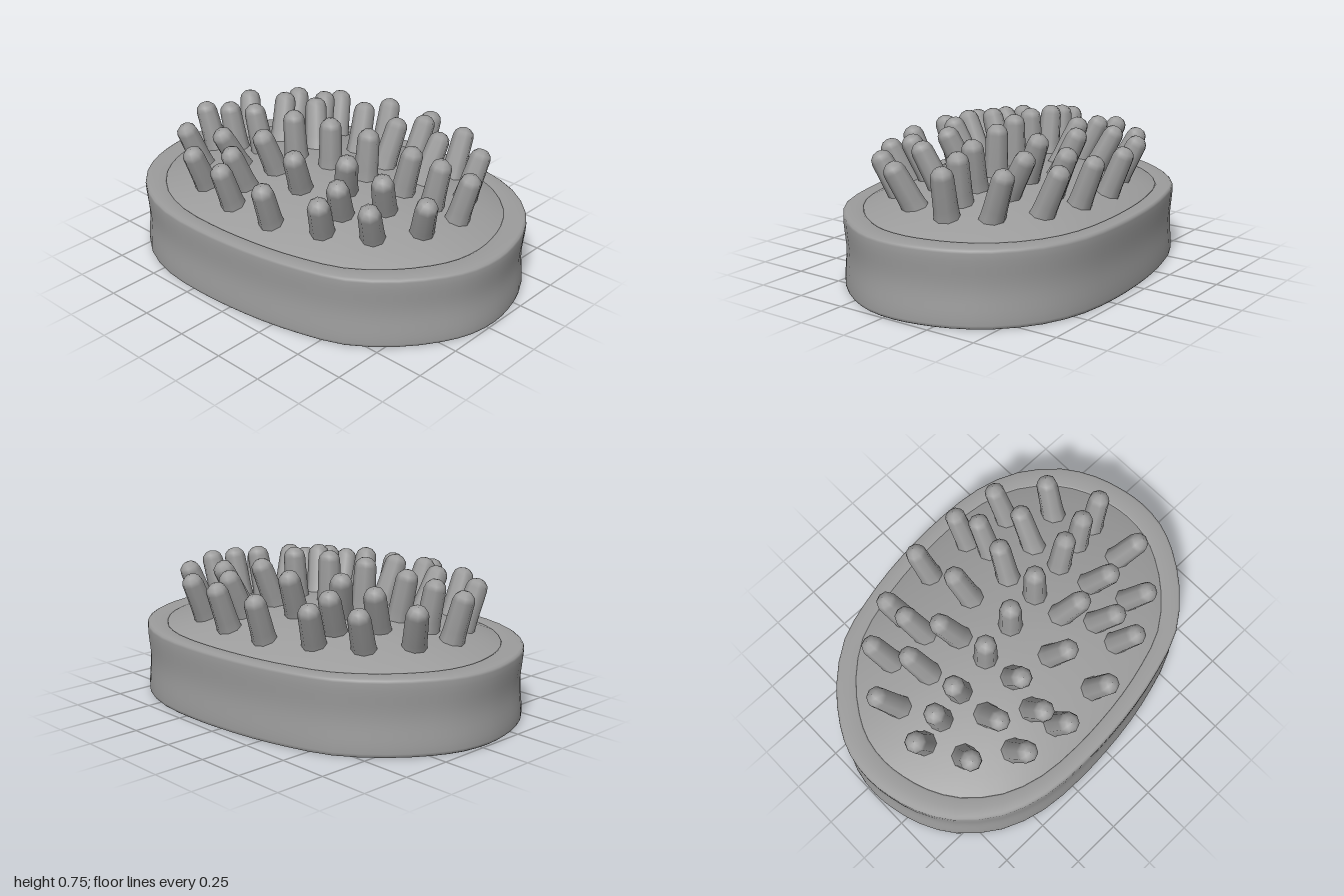
import * as THREE from 'three';

const material = new THREE.MeshStandardMaterial({ color: 0x9c9c9c });

// Half of the skewed oval footprint [x, z]; the other half is its half-turn
const HALF = [
  [0.2, -0.715], [0.44, -0.7], [0.66, -0.625], [0.84, -0.48], [0.935, -0.325], [0.98, -0.18],
  [0.997, -0.05], [0.98, 0.1], [0.92, 0.24], [0.795, 0.41], [0.61, 0.56], [0.4, 0.635],
  [0.2, 0.68], [0, 0.705],
];
const SEGMENTS = 56;
const outline = new THREE.CatmullRomCurve3(
  [...HALF, ...HALF.map(([x, z]) => [-x, -z])].map(([x, z]) => new THREE.Vector3(x, 0, z)),
  true
).getPoints(SEGMENTS);

const RIM = 0.887, RIM_Y = 0.36, DOME = 0.14;

// Loft the footprint through a profile of [scale, y]
function loft(name, profile) {
  const positions = [], index = [], row = SEGMENTS;
  for (const [s, y] of profile) {
    for (let i = 0; i < row; i++) positions.push(outline[i].x * s, y, outline[i].z * s);
  }
  for (let j = 0; j < profile.length - 1; j++) {
    for (let i = 0; i < row; i++) {
      const n = (i + 1) % row;
      const a = j * row + i, b = a + row, c = j * row + n, d = c + row;
      if (profile[j][0] > 0) index.push(a, b, c);
      if (profile[j + 1][0] > 0) index.push(b, d, c);
    }
  }
  const geometry = new THREE.BufferGeometry();
  geometry.setAttribute('position', new THREE.Float32BufferAttribute(positions, 3));
  geometry.setIndex(index);
  geometry.computeVertexNormals();
  const mesh = new THREE.Mesh(geometry, material);
  mesh.name = name;
  return mesh;
}

// Height of the domed pad at a point
function domeHeight(x, z) {
  const s2 = (0.403 * x * x + 0.254 * x * z + 0.783 * z * z) / 0.299;
  return RIM_Y + DOME * Math.max(0, 1 - s2);
}

// Bristles: [tip x, tip z, base x, base z]; each has a half-turn twin
const BRISTLES = [
  [-0.1, -0.56, -0.08, -0.49], [0.17, -0.565, 0.175, -0.495], [0.405, -0.53, 0.41, -0.45],
  [-0.37, -0.475, -0.325, -0.4], [-0.57, -0.36, -0.525, -0.28], [-0.365, -0.345, -0.32, -0.265],
  [-0.065, -0.32, -0.035, -0.245], [0.22, -0.45, 0.215, -0.37], [0.19, -0.27, 0.175, -0.2],
  [0.4, -0.34, 0.39, -0.245], [0.62, -0.38, 0.6, -0.31], [-0.725, -0.15, -0.655, -0.09],
  [-0.49, -0.18, -0.445, -0.105], [-0.28, -0.19, -0.22, -0.13], [0.205, -0.045, 0.2, -0.035],
  [0.445, -0.08, 0.405, -0.07], [0.595, -0.11, 0.56, -0.1], [0.745, -0.14, 0.695, -0.125],
];

// Round-tipped bristle, slightly thicker at the foot
function bristleGeometry() {
  const profile = [[0.064, -0.03], [0.06, 0.01], [0.057, 0.05], [0.053, 0.2]];
  for (let i = 1; i <= 3; i++) {
    const t = (i / 3) * Math.PI / 2;
    profile.push([i === 3 ? 0 : 0.053 * Math.cos(t), 0.2 + 0.048 * Math.sin(t)]);
  }
  return new THREE.LatheGeometry(profile.map(([r, y]) => new THREE.Vector2(r, y)), 8);
}

export function createModel() {
  const model = new THREE.Group();
  model.name = 'bristleBrush';

  // Base: flat underside, waisted wall running over a rounded edge into the rim
  model.add(loft('underside', [[0, 0], [0.99, 0]]));
  const wall = [[0.99, 0], [0.998, 0.006]];
  for (let i = 0; i <= 10; i++) {
    const t = i / 10;
    wall.push([1 - 0.012 * Math.sin(Math.PI * t) ** 2, 0.018 + 0.324 * t]);
  }
  wall.push([0.997, 0.353], [0.985, RIM_Y], [0.94, RIM_Y + 0.001], [0.896, RIM_Y], [RIM, RIM_Y - 0.005]);
  model.add(loft('wallAndRim', wall));

  // Domed pad
  const dome = [[RIM, RIM_Y - 0.005]];
  for (let i = 0; i <= 10; i++) {
    const s = 1 - i / 10;
    dome.push([RIM * s * 0.998, RIM_Y + DOME * (1 - s * s)]);
  }
  model.add(loft('domedPad', dome));

  // Bristles leaning outward
  const bristles = new THREE.Group();
  bristles.name = 'bristles';
  const geometry = bristleGeometry();
  const up = new THREE.Vector3(0, 1, 0);
  const addBristle = (tx, tz, bx, bz) => {
    const dx = tx - bx, dz = tz - bz;
    const lean = new THREE.Vector3(dx, Math.sqrt(0.04 - dx * dx - dz * dz), dz).normalize();
    const bristle = new THREE.Mesh(geometry, material);
    bristle.name = 'bristle';
    bristle.position.set(bx, domeHeight(bx, bz), bz);
    bristle.quaternion.setFromUnitVectors(up, lean);
    bristles.add(bristle);
  };
  addBristle(0, 0, 0, 0);
  for (const b of BRISTLES) {
    addBristle(...b);
    addBristle(...b.map((v) => -v));
  }
  model.add(bristles);
  return model;
}
